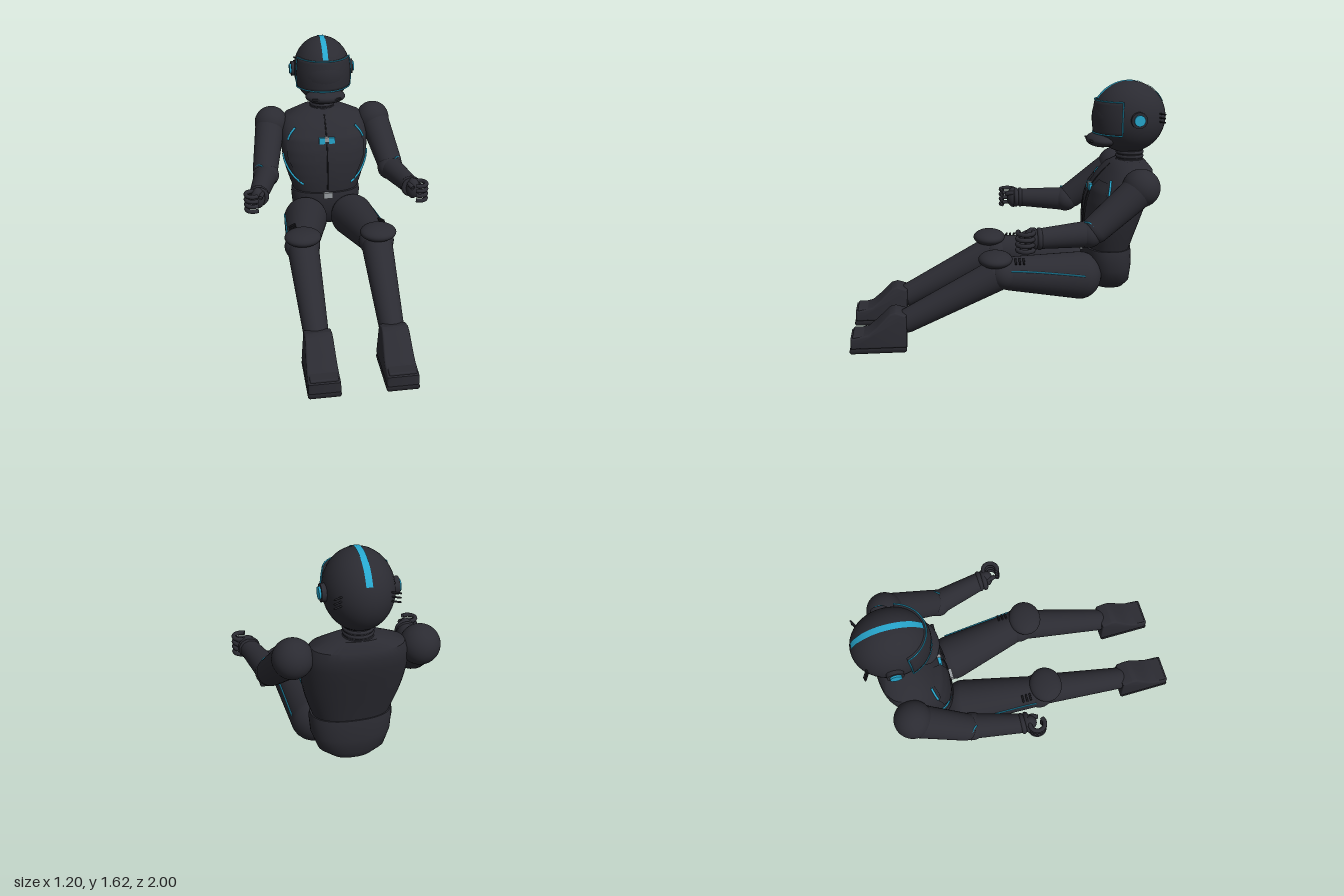
import * as THREE from 'three';
import { mergeVertices, toCreasedNormals } from 'three/addons/utils/BufferGeometryUtils.js';
import { RoundedBoxGeometry } from 'three/addons/geometries/RoundedBoxGeometry.js';

const mat = (name, color) => {
  const m = new THREE.MeshStandardMaterial({ color, side: THREE.DoubleSide });
  m.name = name;
  return m;
};
const V = (x, y, z) => new THREE.Vector3(x, y, z);

// Surface from a rule fn(u, v) -> Vector3, u and v in 0..1
function grid(fn, nu, nv) {
  const pos = [], idx = [];
  for (let j = 0; j <= nv; j++)
    for (let i = 0; i <= nu; i++) pos.push(...fn(i / nu, j / nv).toArray());
  for (let j = 0; j < nv; j++)
    for (let i = 0; i < nu; i++) {
      const a = j * (nu + 1) + i, b = a + 1, c = a + nu + 1, d = c + 1;
      idx.push(a, c, b, b, c, d);
    }
  const g = new THREE.BufferGeometry();
  g.setAttribute('position', new THREE.Float32BufferAttribute(pos, 3));
  g.setIndex(idx);
  g.computeVertexNormals();
  return g;
}

// Closed body from sections [y, halfWidth, backZ, frontZ]
const POW = 2.4;
function loft(secs) {
  const ends = [secs[0], secs[secs.length - 1]].map(s => [s[0], 0.001, (s[2] + s[3]) / 2, (s[2] + s[3]) / 2 + 0.001]);
  const rows = [ends[0], ...secs, ends[1]];
  const g = grid((u, v) => {
    const [y, hx, z0, z1] = rows[Math.round(v * (rows.length - 1))];
    const a = -u * Math.PI * 2, c = Math.cos(a), s = Math.sin(a);
    const p = t => Math.sign(t) * Math.abs(t) ** (2 / POW);
    return V(hx * p(c), y, (z0 + z1) / 2 + (z1 - z0) / 2 * p(s));
  }, 48, rows.length - 1);
  g.deleteAttribute('normal');
  return toCreasedNormals(mergeVertices(g, 1e-5), 0.7);
}

const TORSO = [
  [0.57, 0.225, -0.785, -0.51], [0.64, 0.25, -0.805, -0.502], [0.72, 0.275, -0.83, -0.5],
  [0.8, 0.293, -0.855, -0.503], [0.88, 0.302, -0.88, -0.515], [0.96, 0.302, -0.905, -0.54],
  [1.03, 0.29, -0.92, -0.595], [1.08, 0.262, -0.915, -0.64], [1.13, 0.14, -0.875, -0.7]];
// Point on the chest, lifted a little
function chest(x, y, lift = 0.004) {
  let i = 0;
  while (i < TORSO.length - 2 && TORSO[i + 1][0] < y) i++;
  const a = TORSO[i], b = TORSO[i + 1], t = (y - a[0]) / (b[0] - a[0]);
  const [, hx, z0, z1] = a.map((n, k) => n + (b[k] - n) * t);
  const r = Math.max(0, 1 - (Math.abs(x) / hx) ** POW) ** (1 / POW);
  return V(x + Math.sign(x) * lift * 0.5, y, (z0 + z1) / 2 + (z1 - z0) / 2 * r + lift);
}

export function createModel() {
  const root = new THREE.Group();
  root.name = 'seatedDriver';
  const suit = mat('charcoal suit', 0x2b2b32), dark = mat('black rubber', 0x202025);
  const blue = mat('cyan trim', 0x27a8cf), grey = mat('buckle grey', 0x9a9ea2);
  const add = (name, geo, m = suit, p = null) => {
    const mesh = new THREE.Mesh(geo, m);
    mesh.name = name;
    if (p) mesh.position.copy(p);
    root.add(mesh);
    return mesh;
  };
  const ball = (name, p, rx, ry, rz, m) =>
    add(name, new THREE.SphereGeometry(1, 40, 28).scale(rx, ry, rz), m, p);
  const tube = (name, pts, r, m, closed = false) =>
    add(name, new THREE.TubeGeometry(new THREE.CatmullRomCurve3(pts, closed), pts.length * 6, r, 8, closed), m);
  // Tapered limb with rounded ends
  const limb = (name, a, b, ra, rb, m) => {
    const len = a.distanceTo(b), pts = [];
    for (let i = 0; i <= 8; i++) {
      const t = i / 8 * Math.PI / 2;
      pts.push(new THREE.Vector2(ra * Math.sin(t), -ra * 0.9 * Math.cos(t)));
    }
    for (let i = 0; i <= 8; i++) {
      const t = i / 8 * Math.PI / 2;
      pts.push(new THREE.Vector2(rb * Math.cos(t), len + rb * 0.9 * Math.sin(t)));
    }
    const mesh = add(name, new THREE.LatheGeometry(pts, 36), m, a);
    mesh.quaternion.setFromUnitVectors(V(0, 1, 0), b.clone().sub(a).normalize());
  };

  // Trunk
  add('torso', loft(TORSO));
  add('pelvis', loft([[0.31, 0.13, -0.765, -0.57], [0.36, 0.2, -0.795, -0.53], [0.45, 0.235, -0.802, -0.5],
    [0.54, 0.243, -0.8, -0.49], [0.58, 0.238, -0.795, -0.492]]));
  tube('zip', [0.6, 0.7, 0.8, 0.9, 1, 1.1].map(y => chest(0, y, 0.002)), 0.004, dark);
  add('beltBuckle', new THREE.BoxGeometry(0.064, 0.042, 0.02), grey, V(0, 0.565, -0.485));
  add('chestClip', new THREE.BoxGeometry(0.028, 0.036, 0.026), grey, V(0, 0.966, -0.532));

  // Helmet and neck
  const H = V(0, 1.395, -0.77), R = V(0.194, 0.225, 0.231);
  ball('helmet', H, R.x, R.y, R.z);
  ball('chinGuard', V(0, 1.255, -0.6), 0.135, 0.046, 0.095);
  add('neck', new THREE.CylinderGeometry(0.08, 0.085, 0.16, 36), suit, V(0, 1.15, -0.785));
  for (const y of [1.125, 1.15, 1.175, 1.2])
    add('neckRing', new THREE.TorusGeometry(0.078, 0.011, 10, 36).rotateX(Math.PI / 2), suit, V(0, y, -0.785));
  add('helmetStripe', grid((u, v) => {
    const a = THREE.MathUtils.degToRad(31 + 124 * v), x = (u - 0.5) * 0.036;
    return V(x, H.y + (R.y + 0.003) * Math.sin(a), H.z + (R.z + 0.003) * Math.cos(a));
  }, 2, 40), blue);
  // Visor: a bulging band closed back into the helmet at its rim
  const visor = (a, y, k = 1) => {
    const t = (y - 1.3) / 0.205, f = k * (0.97 + 0.04 * Math.sin(t * Math.PI) - 0.035 * t);
    return V(0.2 * f * Math.sin(a), y, H.z + 0.229 * f * Math.cos(a));
  };
  const ARC = 1.22;
  add('visor', grid((u, v) => {
    const rim = u === 0 || u === 1 || v === 0 || v === 1;
    const y = 1.3 + 0.205 * THREE.MathUtils.clamp((v * 12 - 1) / 10, 0, 1);
    return visor(ARC * THREE.MathUtils.clamp((u * 34 - 1) / 32 * 2 - 1, -1, 1), y, rim ? 0.8 : 1);
  }, 34, 12));
  for (const y of [1.3, 1.505])
    tube('visorTrim', Array.from({ length: 17 }, (_, i) => visor(ARC * (i / 8 - 1), y)), 0.004, blue);

  for (const s of [1, -1]) {
    const P = (x, y, z) => V(s * x, y, z);
    // Helmet details
    tube('visorSideTrim', [1.3, 1.35, 1.4, 1.45, 1.505].map(y => visor(s * ARC, y)), 0.004, blue);
    const disc = r => new THREE.CylinderGeometry(r, r, 0.035, 32).rotateZ(Math.PI / 2);
    add('earPod', disc(0.05), suit, P(0.194, 1.4, -0.79));
    add('earLight', disc(0.034), blue, P(0.205, 1.4, -0.79));
    add('chinVent', new RoundedBoxGeometry(0.055, 0.014, 0.02, 3, 0.006), dark, P(0.07, 1.257, -0.522));
    for (const y of [1.38, 1.405, 1.43])
      limb('rearFin', P(0.12, y, -0.925), P(0.175, y, -0.957), 0.005, 0.005, dark);

    // Chest panels and trim
    add('chestPanel', grid((u, v) => {
      const y = 0.665 + 0.35 * v;
      const x0 = 0.05 + 0.025 * Math.max(0, (v - 0.85) / 0.15) + 0.03 * Math.max(0, (0.1 - v) / 0.1);
      const x1 = Math.min(0.19 + 0.16 * v, 0.265, 0.265 - (v - 0.75) * 0.28);
      return chest(s * (x0 + (x1 - x0) * u), y, 0.007);
    }, 10, 20));
    tube('flankTrim', [[0.293, 0.84], [0.284, 0.79], [0.262, 0.74], [0.225, 0.69], [0.165, 0.64]]
      .map(([x, y]) => chest(s * Math.min(x, 0.293), y, 0.003)), 0.007, blue);
    tube('shoulderTrim', [[0.26, 0.95], [0.243, 0.985], [0.205, 1.03]].map(([x, y]) => chest(s * x, y, 0.005)), 0.007, blue);
    add('chestStrap', new THREE.BoxGeometry(0.042, 0.042, 0.02), blue, P(0.033, 0.957, -0.533));

    // Arm
    const elbow = P(0.43, 0.765, -0.45), wrist = P(0.5, 0.765, -0.15);
    ball('shoulder', P(0.36, 1.02, -0.775), 0.115, 0.115, 0.115);
    limb('upperArm', P(0.375, 0.99, -0.74), P(0.43, 0.79, -0.49), 0.1, 0.085);
    ball('elbow', elbow, 0.088, 0.082, 0.085);
    limb('forearm', elbow, wrist, 0.079, 0.06);
    tube('elbowTrim', [P(0.455, 0.846, -0.42), P(0.478, 0.842, -0.45), P(0.497, 0.825, -0.465)], 0.005, blue);
    for (const z of [-0.145, -0.115])
      add('cuff', new THREE.TorusGeometry(0.05, 0.017, 10, 32), suit, P(0.502, 0.765, z));
    ball('palm', P(0.508, 0.765, -0.1), 0.045, 0.07, 0.045);
    // Fingers curl around an absent wheel rim
    for (const y of [0.712, 0.746, 0.78, 0.814])
      tube('finger', Array.from({ length: 10 }, (_, i) => {
        const a = Math.PI * (1.2 + i / 9 * 1.5);
        return P(0.54 + 0.046 * Math.cos(a), y, -0.06 + 0.046 * Math.sin(a));
      }), 0.014, suit);
    tube('thumb', [P(0.48, 0.8, -0.11), P(0.482, 0.8, -0.075), P(0.495, 0.79, -0.045)], 0.015, suit);

    // Leg
    limb('thigh', P(0.165, 0.415, -0.45), P(0.238, 0.465, 0), 0.15, 0.105);
    const thighLine = Array.from({ length: 9 }, (_, i) => {
      const t = i / 8, z = -0.46 * t, k = 1 + z / 0.45;
      const r = 0.15 - 0.045 * k, cy = 0.415 + 0.05 * k, y = 0.51 - 0.055 * t ** 1.3;
      return P(0.165 + 0.073 * k + Math.sqrt(r * r - (y - cy) ** 2) + 0.003, y, z);
    });
    tube('thighTrim', thighLine, 0.005, blue);
    for (const z of [-0.08, -0.055, -0.03])
      add('thighRib', new RoundedBoxGeometry(0.05, 0.014, 0.012, 2, 0.004), dark, P(0.295, 0.56, z)).rotation.z = -s * 0.5;
    ball('knee', P(0.242, 0.47, 0.04), 0.115, 0.1, 0.1);
    ball('kneePad', P(0.243, 0.562, 0.09), 0.117, 0.05, 0.105);
    limb('shin', P(0.24, 0.455, 0.09), P(0.23, 0.175, 0.64), 0.1, 0.075);

    // Boot: side profile, narrowing upward
    const b = 0.012, profile = [[0.655, 0.045], [0.655, 0.225], [0.71, 0.243], [0.74, 0.235],
      [0.81, 0.165], [0.875, 0.11], [0.975, 0.088], [0.975, 0.045]];
    const boot = new THREE.ExtrudeGeometry(new THREE.Shape(profile.map(p => new THREE.Vector2(...p))),
      { depth: 0.168, bevelSize: b, bevelThickness: b, bevelSegments: 3 });
    boot.translate(0, 0, -0.084).rotateY(-Math.PI / 2);
    const q = boot.attributes.position;
    for (let i = 0; i < q.count; i++) q.setX(i, q.getX(i) * (1 - 0.8 * Math.max(0, q.getY(i) - 0.06)));
    add('boot', toCreasedNormals(boot, 0.6), suit, P(0.228, 0, 0));
    add('toeCap', new RoundedBoxGeometry(0.165, 0.022, 0.08, 3, 0.009), suit, P(0.228, 0.104, 0.935));
    add('sole', new RoundedBoxGeometry(0.195, 0.032, 0.35, 4, 0.014), dark, P(0.228, 0.016, 0.82));
  }
  return root;
}
